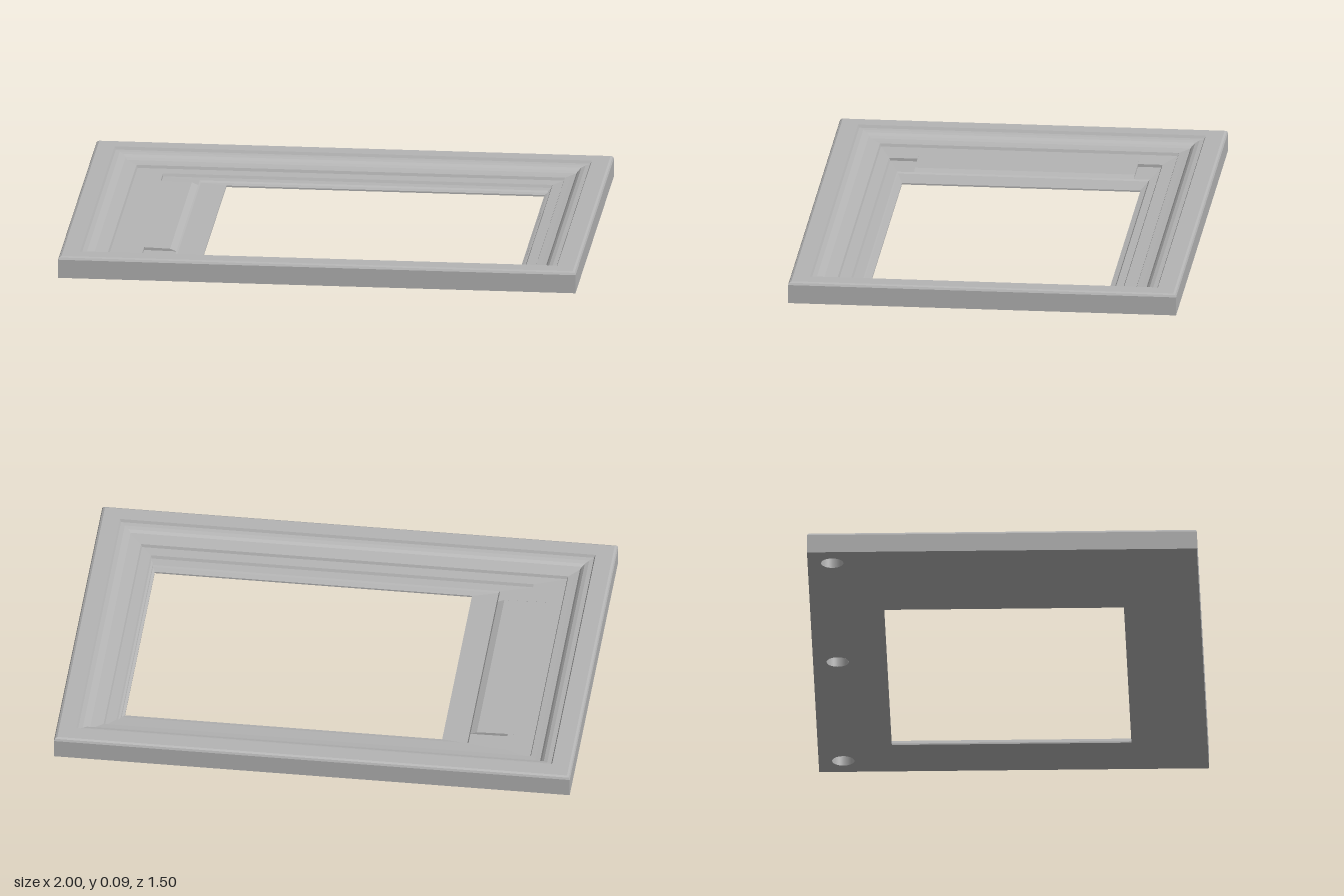
import * as THREE from 'three';

// Skin a list of closed rings (outer to inner), all with the same number of points
function loft(rings) {
  const pos = [];
  for (let r = 0; r < rings.length - 1; r++) {
    const a = rings[r], b = rings[r + 1], n = a.length;
    for (let i = 0; i < n; i++) {
      const j = (i + 1) % n;
      pos.push(...a[i], ...b[i], ...a[j], ...a[j], ...b[i], ...b[j]);
    }
  }
  const g = new THREE.BufferGeometry();
  g.setAttribute('position', new THREE.Float32BufferAttribute(pos, 3));
  g.computeVertexNormals();
  return g;
}

// Rectangular ring; the left side has extra points to meet the two corner pockets
const PZ = { back: -0.43, front: 0.42 };
function ring(xL, xR, zB, zF, y) {
  return [
    [xL, y, zB], [xR, y, zB], [xR, y, zF], [xL, y, zF],
    [xL, y, PZ.front], [xL, y, PZ.front], [xL, y, PZ.back], [xL, y, PZ.back],
  ];
}
// Ring whose left side steps outward around the pockets
function pocketRing(xMid, xR, zB, zF, y, yMid) {
  return [
    [-0.72, y, zB], [xR, y, zB], [xR, y, zF], [-0.7, y, zF],
    [-0.7, y, PZ.front], [xMid, yMid, PZ.front], [xMid, yMid, PZ.back], [-0.72, y, PZ.back],
  ];
}

export function createModel() {
  const group = new THREE.Group();
  const grey = new THREE.MeshStandardMaterial({ color: 0xb4b4b4, side: THREE.DoubleSide });
  grey.name = 'grey';
  const add = (name, geometry) => {
    const mesh = new THREE.Mesh(geometry, grey);
    mesh.name = name;
    group.add(mesh);
    return mesh;
  };

  // Moulding steps as [inset from the outer edge, height]
  const profile = [
    [0, 0], [0, 0.073], [0.004, 0.081], [0.012, 0.085], [0.078, 0.085], [0.083, 0.074],
    [0.1, 0.072], [0.115, 0.067], [0.125, 0.058], [0.132, 0.049], [0.15, 0.046],
    [0.172, 0.043], [0.176, 0.032],
  ];
  const rings = profile.map(([d, y]) => ring(-1 + d, 1 - d, -0.75 + d, 0.75 - d, y));

  // Side panel, corner pockets and the stepped lip around the opening
  rings.push(
    pocketRing(-0.6, 0.785, -0.525, 0.53, 0.029, 0.026),
    pocketRing(-0.6, 0.78, -0.52, 0.525, 0.018, 0.026),
    ring(-0.575, 0.772, -0.49, 0.487, 0.016),
    ring(-0.57, 0.77, -0.485, 0.482, 0.01),
    ring(-0.47, 0.76, -0.465, 0.457, 0.006),
    ring(-0.47, 0.76, -0.465, 0.457, 0),
  );
  add('mouldedFrame', loft(rings));

  // Flat underside with the opening and three round sockets
  const rect = (P, x0, x1, z0, z1) => {
    const p = new P();
    p.moveTo(x0, z0).lineTo(x1, z0).lineTo(x1, z1).lineTo(x0, z1).closePath();
    return p;
  };
  const base = rect(THREE.Shape, -1, 1, -0.75, 0.75);
  base.holes.push(rect(THREE.Path, -0.47, 0.76, -0.465, 0.457));
  const radius = 0.043, depth = 0.04, socketZ = -0.655;
  for (const x of [-0.9, 0, 0.9]) {
    const hole = new THREE.Path();
    hole.absarc(x, socketZ, radius, 0, Math.PI * 2);
    base.holes.push(hole);
    add('socketWall', new THREE.CylinderGeometry(radius, radius, depth, 32, 1, true))
      .position.set(x, depth / 2, socketZ);
    add('socketEnd', new THREE.CircleGeometry(radius, 32).rotateX(Math.PI / 2))
      .position.set(x, depth, socketZ);
  }
  add('underside', new THREE.ShapeGeometry(base, 32).rotateX(Math.PI / 2));

  return group;
}
